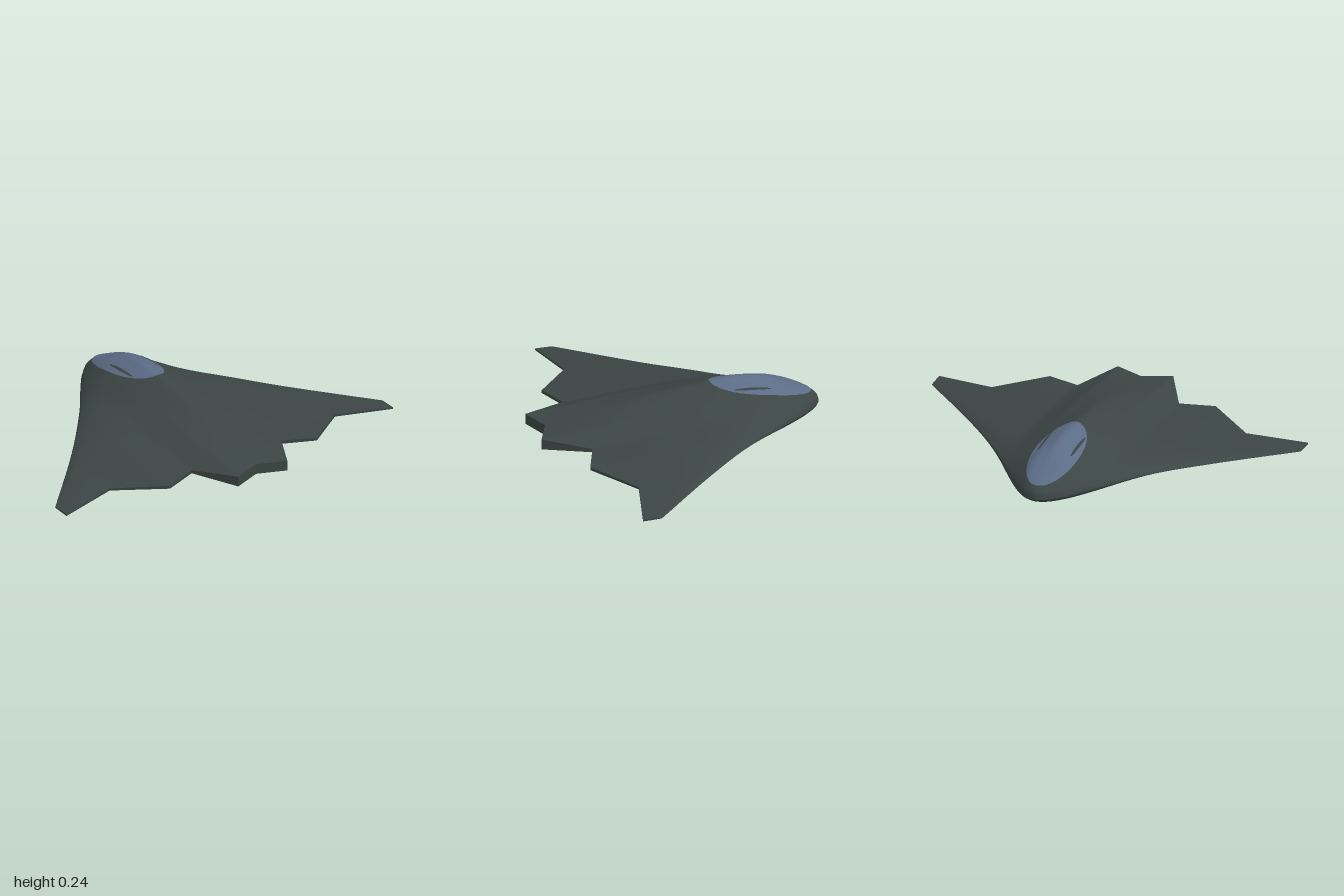
import * as THREE from 'three';

// Smooth monotone curve through [x, y] keys
function curve(keys) {
  const d = [];
  for (let i = 0; i < keys.length - 1; i++) {
    d.push((keys[i + 1][1] - keys[i][1]) / (keys[i + 1][0] - keys[i][0]));
  }
  const m = keys.map((_, i) => {
    if (i === 0) return d[0];
    if (i === d.length) return d[i - 1];
    const p = d[i - 1] * d[i];
    return p <= 0 ? 0 : (2 * p) / (d[i - 1] + d[i]);
  });
  return (x) => {
    let i = 0;
    while (i < d.length - 1 && x > keys[i + 1][0]) i++;
    const h = keys[i + 1][0] - keys[i][0];
    const t = (x - keys[i][0]) / h, t2 = t * t, t3 = t2 * t;
    return (2 * t3 - 3 * t2 + 1) * keys[i][1] + (t3 - 2 * t2 + t) * h * m[i]
      + (3 * t2 - 2 * t3) * keys[i + 1][1] + (t3 - t2) * h * m[i + 1];
  };
}

// Straight-segment curve through [x, y] keys
function polyline(keys) {
  return (x) => {
    let i = 0;
    while (i < keys.length - 2 && x > keys[i + 1][0]) i++;
    const [a, b] = [keys[i], keys[i + 1]];
    return a[1] + (b[1] - a[1]) * (x - a[0]) / (b[0] - a[0]);
  };
}

// Planform edges, by distance from the centre line
const leadZ = curve([[-0.05, -0.73], [0, -0.745], [0.05, -0.73], [0.12, -0.67], [0.2, -0.57],
  [0.33, -0.39], [0.5, -0.18], [0.66, 0], [1, 0.35]]);
const sawteeth = [[0, 0.68], [0.15, 0.74], [0.275, 0.51], [0.45, 0.57], [0.69, 0.385], [1, 0.45]];
const tailZ = polyline(sawteeth);
// Edge heights
const leadY = curve([[0, 0.06], [0.4, 0.06], [0.66, 0.042], [1, 0.015]]);
const tailTop = polyline([[0, 0.1], [0.15, 0.1], [0.275, 0.076], [0.45, 0.066], [0.69, 0.044], [1, 0.019]]);
const tailLow = polyline([[0, 0.045], [0.15, 0.045], [0.275, 0.058], [0.45, 0.05], [0.69, 0.032], [1, 0.01]]);
// Bulge above and below the edges, across the span
const bulgeUp = curve([[-0.05, 0.151], [0, 0.168], [0.05, 0.151], [0.1, 0.126], [0.2, 0.084],
  [0.28, 0.057], [0.42, 0.037], [0.66, 0.017], [1, 0.003]]);
const bulgeDown = curve([[0, 0.0525], [0.13, 0.0525], [0.2, 0.047], [0.28, 0.036],
  [0.45, 0.011], [0.66, 0.005], [1, 0.001]]);
// Bulge along the chord
const aft = [[0.3, 1], [0.37, 0.96], [0.51, 0.8], [0.64, 0.62], [0.78, 0.38], [0.9, 0.15], [1, 0]];
const ridge = curve([[0, 0], [0.006, 0.16], [0.03, 0.34], [0.1, 0.58], [0.165, 0.82], [0.235, 0.95], ...aft]);
const flank = curve([[0, 0], [0.006, 0.17], [0.03, 0.4], [0.1, 0.76], [0.165, 0.93], [0.235, 0.99], ...aft]);
const belly = curve([[0, 0], [0.006, 0.25], [0.03, 0.52], [0.1, 0.8], [0.2, 0.92], [0.38, 0.98],
  [0.52, 1], [0.67, 0.86], [0.8, 0.55], [1, 0]]);

function upperY(x, s) {
  const ax = Math.abs(x), k = THREE.MathUtils.smoothstep(ax, 0, 0.1);
  const bump = THREE.MathUtils.lerp(ridge(s), flank(s), k);
  return THREE.MathUtils.lerp(leadY(ax), tailTop(ax), s) + bulgeUp(ax) * bump;
}
function lowerY(x, s) {
  const ax = Math.abs(x);
  return THREE.MathUtils.lerp(leadY(ax), tailLow(ax), s) - bulgeDown(ax) * belly(s);
}
function chordZ(x, s) {
  return THREE.MathUtils.lerp(leadZ(Math.abs(x)), tailZ(Math.abs(x)), s);
}
// Point lying just above the upper skin
function onSkin(x, z, lift) {
  const ax = Math.abs(x);
  const s = Math.max(0, (z - leadZ(ax)) / (tailZ(ax) - leadZ(ax)));
  return [x, upperY(x, s) + lift, z];
}

// Grid of points to surface; it faces (row step) x (column step)
function sheet(rows, flat = false) {
  const n = rows[0].length, index = [];
  for (let i = 0; i < rows.length - 1; i++) {
    for (let j = 0; j < n - 1; j++) {
      const a = i * n + j, b = a + n;
      index.push(a, b, b + 1, a, b + 1, a + 1);
    }
  }
  let g = new THREE.BufferGeometry();
  g.setAttribute('position', new THREE.Float32BufferAttribute(rows.flat(2), 3));
  g.setIndex(index);
  if (flat) g = g.toNonIndexed();
  g.computeVertexNormals();
  return g;
}

export function createModel() {
  const model = new THREE.Group();
  const hull = new THREE.MeshStandardMaterial({ color: 0x3b4543 });
  hull.name = 'dark grey green';
  const glass = new THREE.MeshStandardMaterial({ color: 0x5b6c86, side: THREE.DoubleSide });
  glass.name = 'blue grey glass';
  const add = (name, geometry, material) => {
    const mesh = new THREE.Mesh(geometry, material);
    mesh.name = name;
    model.add(mesh);
  };

  // Span stations, hitting every sawtooth corner
  const half = [0];
  for (let k = 1; k < sawteeth.length; k++) {
    const a = sawteeth[k - 1][0], b = sawteeth[k][0], n = k === 1 ? 12 : 8;
    for (let i = 1; i <= n; i++) half.push(a + (b - a) * i / n);
  }
  const xs = [...half.slice(1).reverse().map((x) => -x), ...half];

  // Blended body: each section runs from the tail over the nose edge and back below
  const N = 48;
  const sections = xs.map((x) => {
    const loop = [];
    for (let j = -N; j <= N; j++) {
      const s = (j / N) ** 2;
      loop.push([x, j < 0 ? upperY(x, s) : lowerY(x, s), chordZ(x, s)]);
    }
    return loop;
  });
  add('blendedBody', sheet(sections), hull);

  // Blunt trailing edge and wing tips
  add('trailingEdge', sheet(sections.map((l) => [l[2 * N], l[0]]), true), hull);
  for (const side of [1, -1]) {
    const loop = sections[side > 0 ? sections.length - 1 : 0];
    const upper = loop.slice(0, N + 1).reverse(), lower = loop.slice(N);
    const rows = side > 0 ? [lower, upper] : [upper, lower];
    add(side > 0 ? 'leftWingTip' : 'rightWingTip', sheet(rows, true), hull);
  }

  // Flush oval canopy
  const discs = [];
  for (let i = 0; i <= 16; i++) {
    const ring = [];
    for (let j = 0; j <= 48; j++) {
      const a = j / 48 * Math.PI * 2, r = i / 16;
      ring.push(onSkin(0.123 * r * Math.cos(a), -0.44 - 0.265 * r * Math.sin(a), 0.004));
    }
    discs.push(ring);
  }
  add('canopy', sheet(discs), glass);

  // Thin slits along both sides of the canopy
  for (const side of [1, -1]) {
    const rows = [-1, 1].map((e) => {
      const row = [];
      for (let j = 0; j <= 12; j++) {
        const t = j / 12, w = 0.007 * Math.sqrt(Math.sin(Math.PI * (0.04 + 0.92 * t)));
        row.push(onSkin(side * 0.09 + e * w, -0.28 - 0.19 * t, 0.007));
      }
      return row;
    });
    add(side > 0 ? 'leftCanopySlit' : 'rightCanopySlit', sheet(rows), hull);
  }
  return model;
}
